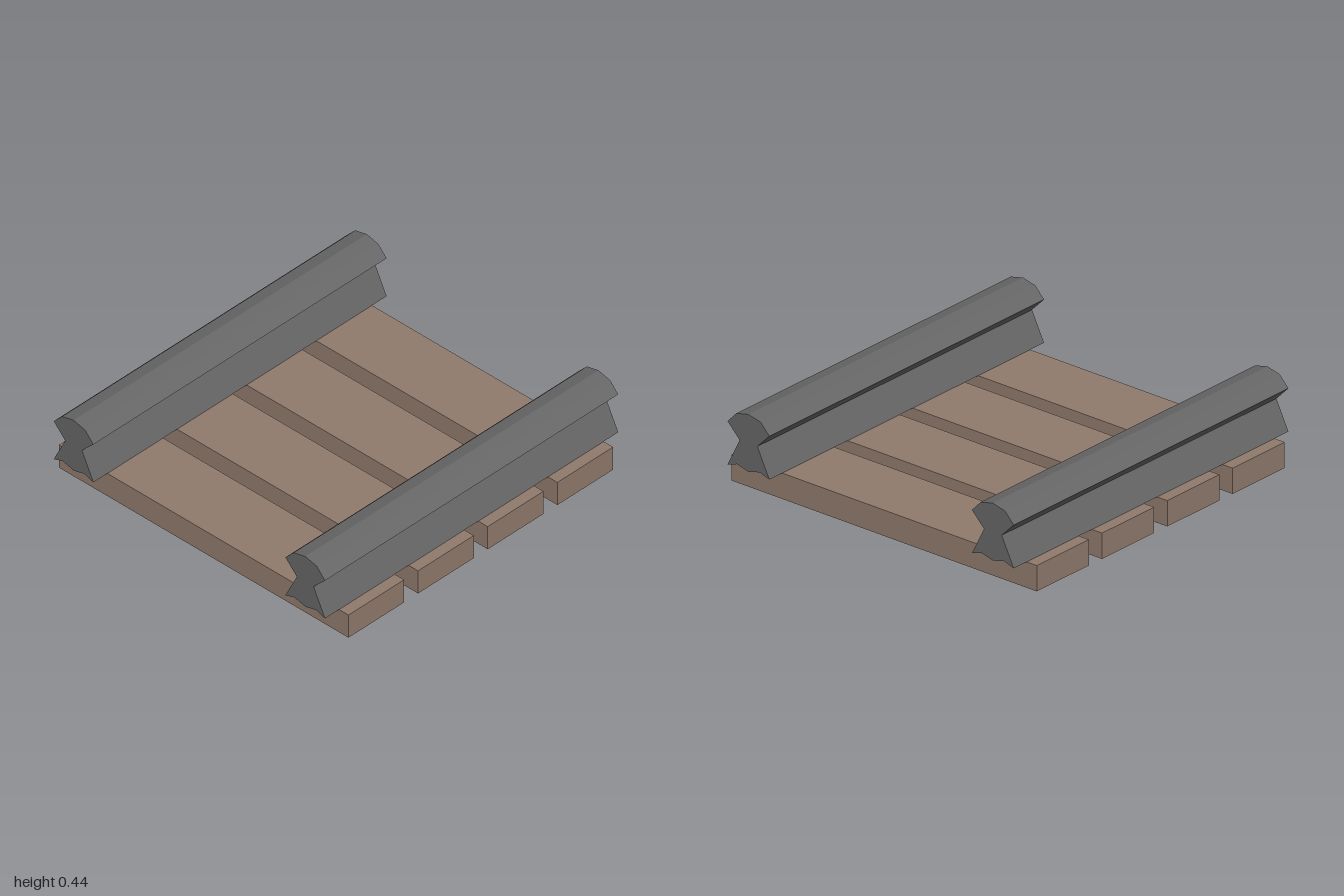
import * as THREE from 'three';

const wood = new THREE.MeshStandardMaterial({ color: 0x8f7a6c, flatShading: true });
const steel = new THREE.MeshStandardMaterial({ color: 0x666666, flatShading: true });

// Half of the rail section from the bottom centre to the crown: [offset, height]
const halfSection = [
  [0, 0.138], [0.07, 0.156], [0.13, 0.137], [0.055, 0.287],
  [0.13, 0.363], [0.076, 0.42], [0, 0.438],
];

function railGeometry(length) {
  const mirrored = halfSection.slice(1, -1).reverse().map(([u, y]) => [-u, y]);
  const points = [...halfSection, ...mirrored].map(([u, y]) => new THREE.Vector2(u, y));
  const geometry = new THREE.ExtrudeGeometry(new THREE.Shape(points), { depth: length, bevelEnabled: false });
  geometry.translate(0, 0, -length / 2);
  geometry.rotateY(Math.PI / 2);
  return geometry;
}

export function createModel() {
  const group = new THREE.Group();
  group.name = 'railTrack';

  // Four wooden sleepers, evenly spaced along x
  const sleeper = new THREE.BoxGeometry(0.38, 0.135, 1.9);
  for (let i = 0; i < 4; i++) {
    const mesh = new THREE.Mesh(sleeper, wood);
    mesh.name = `sleeper${i + 1}`;
    mesh.position.set((i - 1.5) * 0.475, 0.0675, 0);
    group.add(mesh);
  }

  // Two steel rails running along x
  const rail = railGeometry(2);
  for (const [name, z] of [['frontRail', 0.76], ['backRail', -0.76]]) {
    const mesh = new THREE.Mesh(rail, steel);
    mesh.name = name;
    mesh.position.z = z;
    group.add(mesh);
  }

  return group;
}
